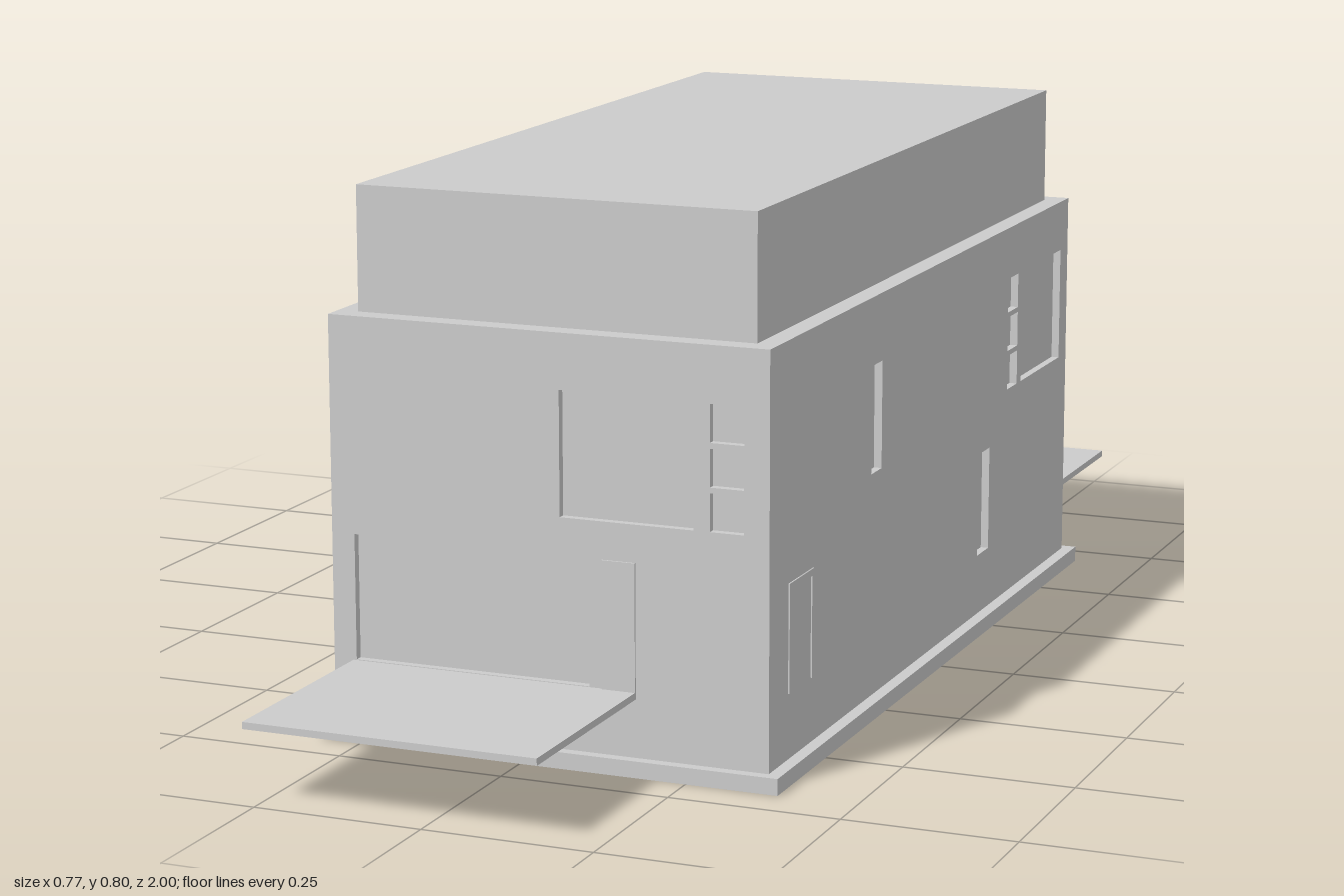
import * as THREE from 'three';

const mat = new THREE.MeshStandardMaterial({ color: 0xcccccc, flatShading: true });

function add(parent, name, geometry) {
  const mesh = new THREE.Mesh(geometry, mat);
  mesh.name = name;
  parent.add(mesh);
  return mesh;
}

// Box given by its limits on each axis
function box(parent, name, x0, x1, y0, y1, z0, z1) {
  const g = new THREE.BoxGeometry(x1 - x0, y1 - y0, z1 - z0);
  g.translate((x0 + x1) / 2, (y0 + y1) / 2, (z0 + z1) / 2);
  return add(parent, name, g);
}

function rectShape(x0, x1, y0, y1) {
  return new THREE.Shape([[x0, y0], [x1, y0], [x1, y1], [x0, y1]].map(p => new THREE.Vector2(...p)));
}

// Thin outer wall with recessed openings, each given as [u0, u1, y0, y1]
const SKIN = 0.012;
function wallGeometry(half, openings) {
  const s = rectShape(-half, half, 0.024, 0.615);
  s.holes = openings.map(o => rectShape(...o));
  return new THREE.ExtrudeGeometry(s, { depth: SKIN, bevelEnabled: false });
}

// Three small panes stacked above one another
function sash(u0, u1) {
  return [0, 1, 2].map(i => [u0, u1, 0.356 + i * 0.062, 0.41 + i * 0.062]);
}

// Horizontal frame with the two stepped crawl space openings
function frameGeometry(hx, hz, y0, y1) {
  const s = rectShape(-hx, hx, -hz, hz);
  const room = [[-0.28, 0.61], [0.28, 0.61], [0.28, -0.036], [0.042, -0.036], [0.042, 0.124], [-0.28, 0.124]];
  s.holes = [1, -1].map(k => new THREE.Path(room.map(([x, z]) => new THREE.Vector2(k * x, -k * z))));
  const g = new THREE.ExtrudeGeometry(s, { depth: y1 - y0, bevelEnabled: false });
  g.rotateX(-Math.PI / 2);
  g.translate(0, y0, 0);
  return g;
}

// One of the two identical halves: front wall, side wall, deck, door parts
function createUnit() {
  const unit = new THREE.Group();
  unit.name = 'houseHalf';

  const front = add(unit, 'frontWall', wallGeometry(0.331, [
    [-0.296, 0.064, 0.119, 0.302],
    [0.021, 0.22, 0.356, 0.535],
    ...sash(0.244, 0.294)
  ]));
  front.position.z = 0.66;

  const side = add(unit, 'sideWall', wallGeometry(0.66, [
    [-0.27, -0.226, 0.356, 0.515],
    [0.222, 0.276, 0.118, 0.28],
    [0.43, 0.634, 0.356, 0.535],
    ...sash(0.36, 0.41)
  ]));
  side.rotation.y = Math.PI / 2;
  side.position.x = 0.319;

  box(unit, 'deck', -0.301, 0.134, 0.108, 0.118, 0.66, 1);
  box(unit, 'entranceDoor', 0.084, 0.134, 0.118, 0.302, 0.665, 0.675);

  // Side door frame, standing slightly proud of the wall
  box(unit, 'sideDoorHeader', 0.325, 0.333, 0.265, 0.275, 0.505, 0.6);
  for (const z of [0.505, 0.592]) box(unit, 'sideDoorJamb', 0.325, 0.333, 0.118, 0.265, z, z + 0.008);
  return unit;
}

// Furniture around the back corner
function createFurniture() {
  const f = new THREE.Group();
  f.name = 'furniture';

  box(f, 'cabinet', -0.275, 0.065, 0.118, 0.304, -0.704, -0.66);
  box(f, 'cabinetRail', -0.28, -0.165, 0.16, 0.18, -0.715, -0.704);
  box(f, 'cornerShelf', -0.36, -0.28, 0.429, 0.441, -0.704, -0.615);
  box(f, 'deskTop', -0.385, -0.29, 0.184, 0.193, -0.67, -0.625);

  // Stool below the desk
  box(f, 'stoolSeat', -0.363, -0.31, 0.145, 0.152, -0.7, -0.64);
  box(f, 'stoolBack', -0.317, -0.295, 0.155, 0.164, -0.7, -0.64);
  for (const x of [-0.363, -0.317]) {
    for (const z of [-0.7, -0.646]) box(f, 'stoolLeg', x, x + 0.006, 0.118, x < -0.33 ? 0.145 : 0.164, z, z + 0.006);
  }

  // Bed with a rounded end bolster
  box(f, 'bedFrame', -0.295, -0.15, 0.13, 0.143, -0.82, -0.704);
  box(f, 'mattress', -0.29, -0.155, 0.143, 0.16, -0.805, -0.704);
  const bolster = new THREE.CylinderGeometry(0.013, 0.013, 0.145, 12);
  bolster.rotateZ(Math.PI / 2);
  bolster.translate(-0.2225, 0.153, -0.808);
  add(f, 'bolster', bolster);
  for (const x of [-0.292, -0.159]) {
    for (const z of [-0.815, -0.72]) box(f, 'bedLeg', x, x + 0.006, 0.118, 0.13, z, z + 0.006);
  }
  return f;
}

export function createModel() {
  const model = new THREE.Group();
  model.name = 'house';

  // The house has half-turn symmetry about its own centre
  const house = new THREE.Group();
  house.name = 'building';
  house.position.x = 0.036;
  model.add(house);

  add(house, 'plinth', frameGeometry(0.35, 0.688, 0, 0.024));
  add(house, 'foundationWalls', frameGeometry(0.319, 0.66, 0.024, 0.108));
  box(house, 'core', -0.319, 0.319, 0.108, 0.615, -0.66, 0.66);
  box(house, 'roofBlock', -0.3, 0.3, 0.615, 0.795, -0.64, 0.64);

  for (let i = 0; i < 2; i++) {
    const unit = createUnit();
    unit.rotation.y = i * Math.PI;
    house.add(unit);
  }

  model.add(createFurniture());
  return model;
}
